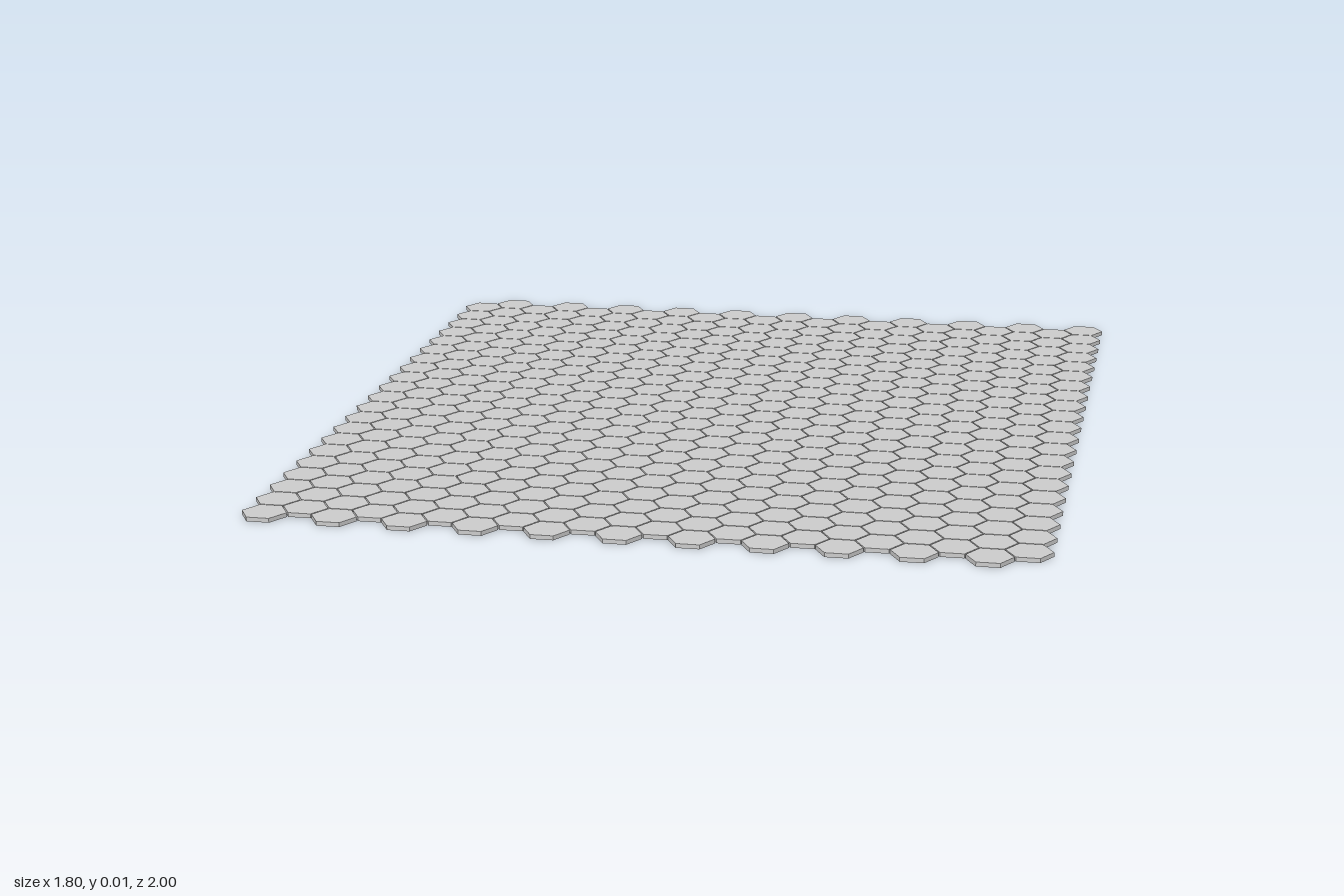
import * as THREE from 'three';

const COLUMNS = 22;
const ROWS = 21;
const RADIUS = 0.052;      // corner radius of one tile
const PITCH = 0.0538;      // corner radius including half the gap
const THICKNESS = 0.01;

export function createModel() {
  const model = new THREE.Group();
  model.name = 'hexTileFloor';

  const material = new THREE.MeshStandardMaterial({ color: 0xcccccc, flatShading: true });

  // One six-sided tile with its corners pointing along x
  const tileGeometry = new THREE.CylinderGeometry(RADIUS, RADIUS, THICKNESS, 6);
  tileGeometry.rotateY(Math.PI / 6);
  tileGeometry.translate(0, THICKNESS / 2, 0);

  const columnStep = PITCH * 1.5;
  const rowStep = PITCH * Math.sqrt(3);

  // Columns alternate by half a row towards the front and the back
  for (let c = 0; c < COLUMNS; c++) {
    const column = new THREE.Group();
    column.name = `tileColumn${c + 1}`;
    column.position.x = (c - (COLUMNS - 1) / 2) * columnStep;
    column.position.z = (c % 2 === 0 ? 1 : -1) * rowStep / 4;

    for (let r = 0; r < ROWS; r++) {
      const tile = new THREE.Mesh(tileGeometry, material);
      tile.name = 'hexTile';
      tile.position.z = (r - (ROWS - 1) / 2) * rowStep;
      column.add(tile);
    }
    model.add(column);
  }
  return model;
}
